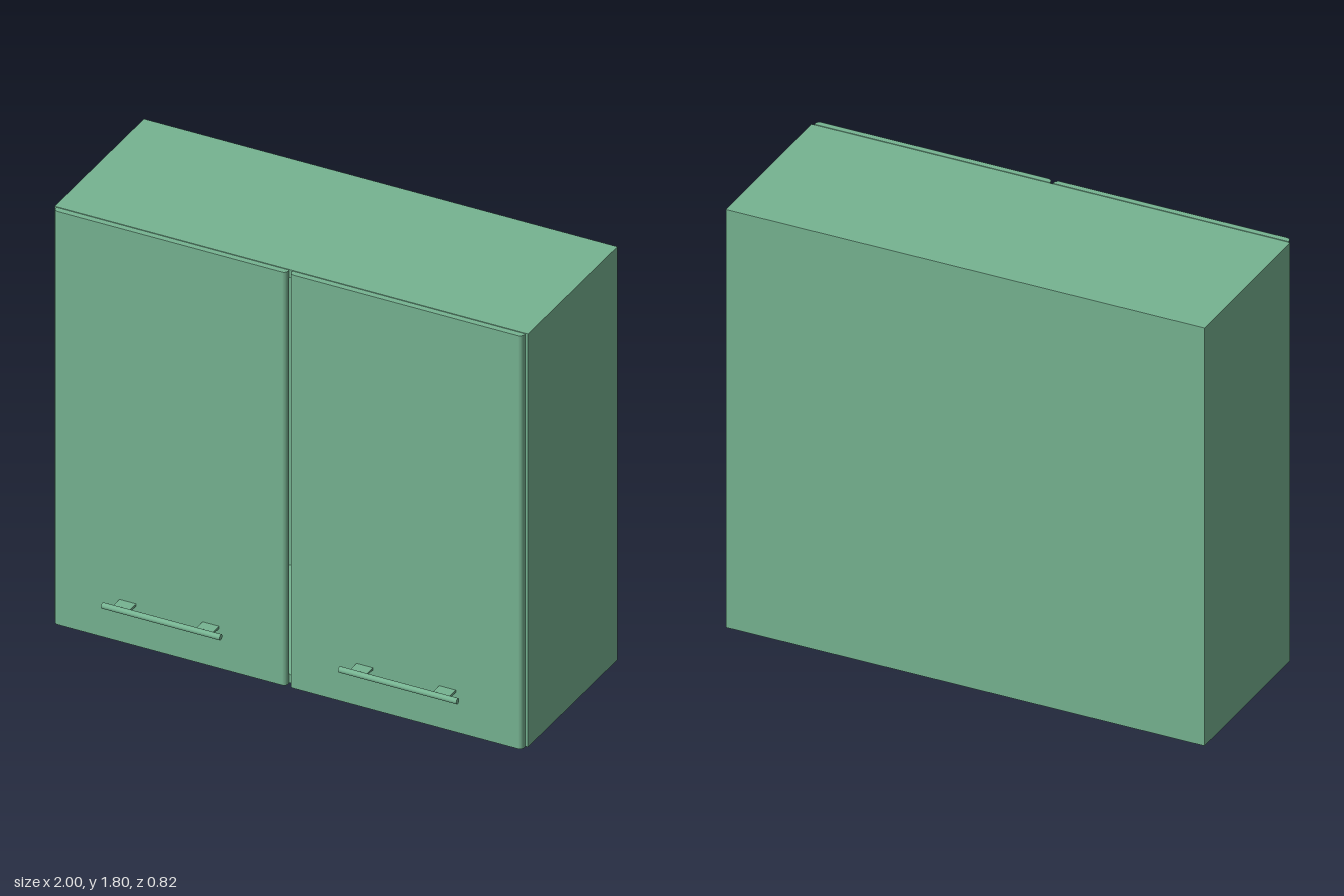
import * as THREE from 'three';

const H = 1.8;          // cabinet height
const BACK = -0.41;     // rear face
const FRONT = 0.308;    // carcass front edge
const T = 0.036;        // panel thickness

export function createModel() {
  const group = new THREE.Group();
  group.name = 'wallCabinet';
  const material = new THREE.MeshStandardMaterial({ color: 0x76b391 });

  const add = (parent, name, geometry, x = 0, y = 0, z = 0) => {
    const mesh = new THREE.Mesh(geometry, material);
    mesh.name = name;
    mesh.position.set(x, y, z);
    parent.add(mesh);
    return mesh;
  };
  // box given by its minimum and maximum corners
  const box = (parent, name, a, b) => add(parent, name,
    new THREE.BoxGeometry(b[0] - a[0], b[1] - a[1], b[2] - a[2]),
    (a[0] + b[0]) / 2, (a[1] + b[1]) / 2, (a[2] + b[2]) / 2);

  // hollow carcass, open at the front
  const carcass = new THREE.Group();
  carcass.name = 'carcass';
  group.add(carcass);
  box(carcass, 'leftPanel', [1 - T, 0, BACK], [1, H, FRONT]);
  box(carcass, 'rightPanel', [-1, 0, BACK], [-1 + T, H, FRONT]);
  box(carcass, 'bottomPanel', [-1 + T, 0, BACK], [1 - T, T, FRONT]);
  box(carcass, 'topPanel', [-1 + T, H - T, BACK], [1 - T, H, FRONT]);
  box(carcass, 'backPanel', [-1 + T, T, BACK], [1 - T, H - T, BACK + 0.012]);

  // door cross-section: square at the rear, rounded vertical edges at the front
  const w = 0.983, d = 0.025, r = 0.018;
  const profile = new THREE.Shape();
  profile.moveTo(-w / 2, 0);
  profile.lineTo(w / 2, 0);
  profile.lineTo(w / 2, -d + r);
  profile.absarc(w / 2 - r, -d + r, r, 0, -Math.PI / 2, true);
  profile.lineTo(-w / 2 + r, -d);
  profile.absarc(-w / 2 + r, -d + r, r, -Math.PI / 2, -Math.PI, true);
  profile.closePath();
  const doorGeometry = new THREE.ExtrudeGeometry(profile,
    { depth: H, bevelEnabled: false, curveSegments: 6 });
  doorGeometry.rotateX(-Math.PI / 2);

  const barGeometry = new THREE.CylinderGeometry(0.012, 0.012, 0.5, 20);
  barGeometry.rotateZ(Math.PI / 2);

  for (const side of [1, -1]) {
    const label = side > 0 ? 'left' : 'right';
    const door = new THREE.Group();
    door.name = label + 'Door';
    group.add(door);
    add(door, 'doorPanel', doorGeometry, side * 0.4985, 0, 0.312);

    // bar handle on two flat posts
    const handle = new THREE.Group();
    handle.name = label + 'Handle';
    door.add(handle);
    add(handle, 'handleBar', barGeometry, side * 0.5, 0.178, 0.398);
    for (const x of [0.325, 0.675]) {
      box(handle, 'handlePost', [side * x - 0.035, 0.173, 0.33], [side * x + 0.035, 0.183, 0.398]);
    }

    // concealed hinges between door and side panel
    for (const y of [0.265, 1.515]) {
      const hinge = new THREE.Group();
      hinge.name = label + 'Hinge';
      door.add(hinge);
      add(hinge, 'hingePlate', new THREE.BoxGeometry(0.085, 0.05, 0.006), side * 0.947, y, 0.31);
      add(hinge, 'hingeArm', new THREE.BoxGeometry(0.03, 0.03, 0.12), side * 0.949, y, 0.25);
    }
  }
  return group;
}
